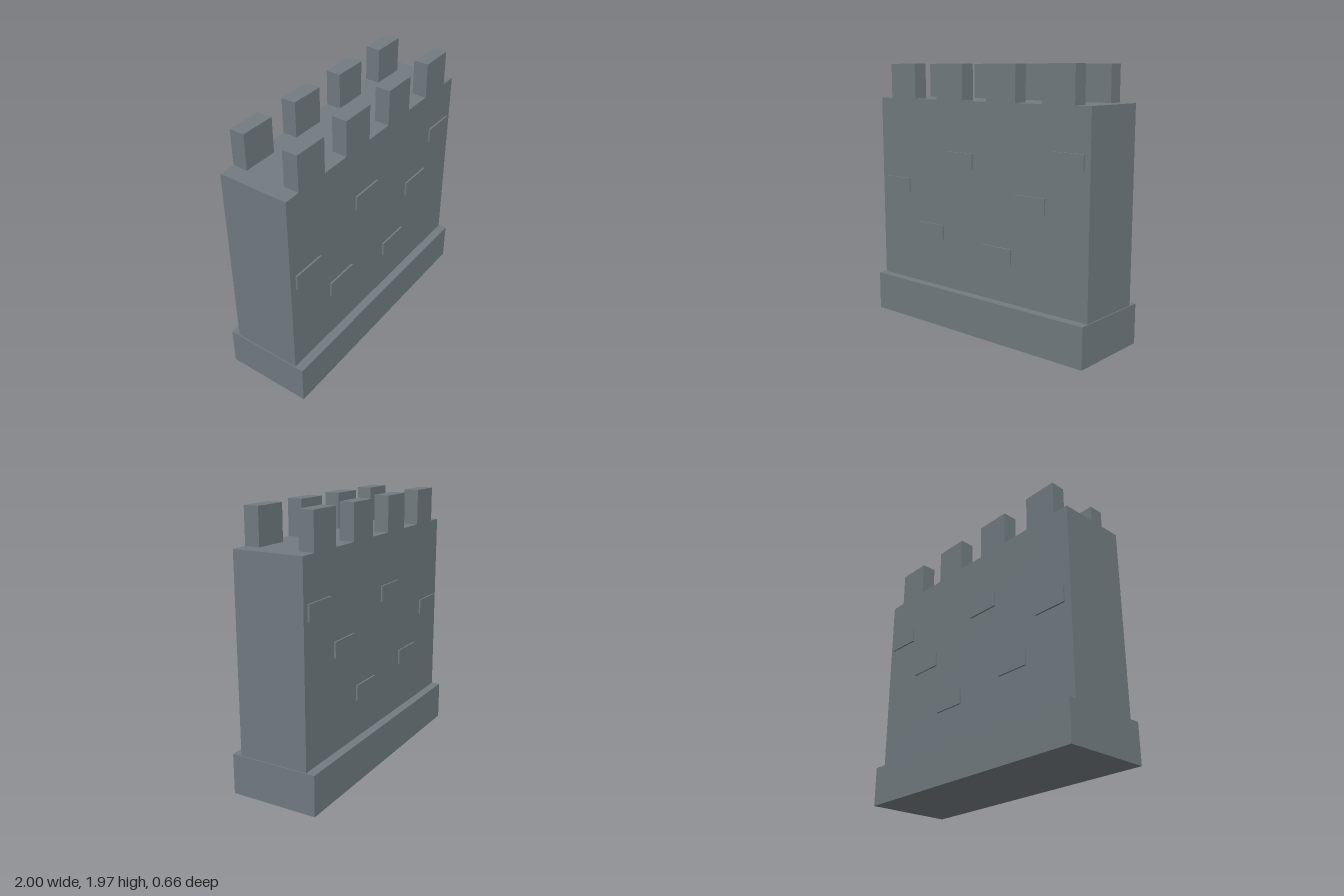
import * as THREE from 'three';

export function createModel() {
  const model = new THREE.Group();
  model.name = 'castleWall';

  const stone = new THREE.MeshStandardMaterial({ color: 0x727b80 });
  stone.name = 'grey stone';

  // Box with its centre in x and z and its bottom in y
  function block(name, w, h, d, x, y, z) {
    const mesh = new THREE.Mesh(new THREE.BoxGeometry(w, h, d), stone);
    mesh.name = name;
    mesh.position.set(x, y + h / 2, z);
    model.add(mesh);
  }

  // Plinth and main wall
  block('plinth', 2, 0.295, 0.656, 0, 0, 0);
  block('wall', 1.985, 1.415, 0.524, 0, 0.295, 0);

  // Centres of the raised bricks on each face
  const bricks = [
    [-0.81, 1.04], [-0.147, 1.28], [0.818, 1.35],
    [0.508, 1.03], [-0.45, 0.715], [0.214, 0.635],
  ];

  for (const side of [1, -1]) {
    const face = side > 0 ? 'front' : 'back';

    // Battlements along the wall's edge
    for (let i = 0; i < 4; i++) {
      block(face + 'Merlon', 0.262, 0.262, 0.112, -0.74 + i * 0.4917, 1.71, side * 0.206);
    }

    // Raised bricks, sunk a little into the wall
    for (const [x, y] of bricks) {
      block(face + 'Brick', 0.26, 0.113, 0.03, x, y - 0.0565, side * 0.26);
    }
  }

  return model;
}
